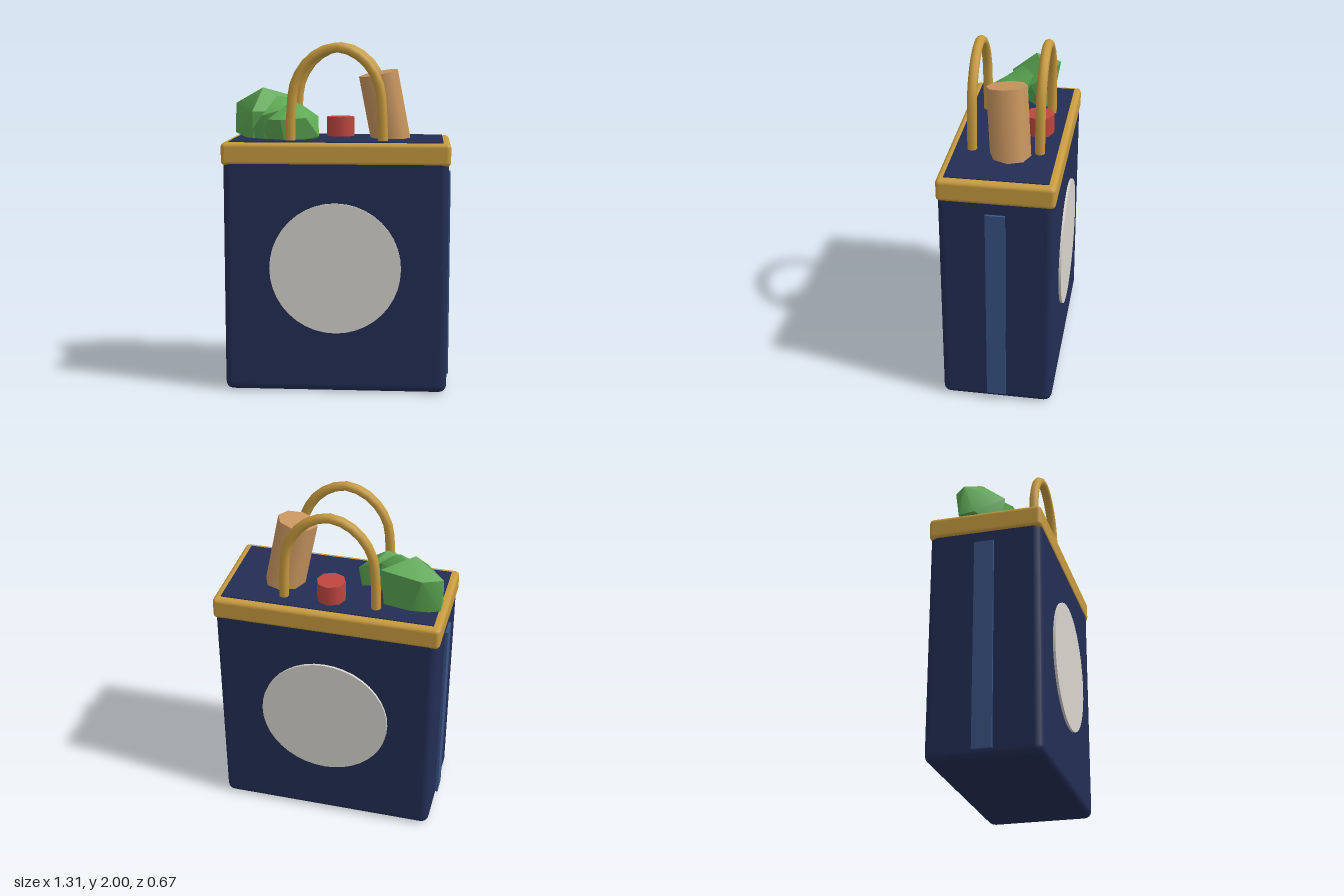
import * as THREE from 'three';
import { toCreasedNormals } from 'three/addons/utils/BufferGeometryUtils.js';
import { RoundedBoxGeometry } from 'three/addons/geometries/RoundedBoxGeometry.js';
import { ConvexGeometry } from 'three/addons/geometries/ConvexGeometry.js';

function material(name, color) {
  const m = new THREE.MeshStandardMaterial({ color });
  m.name = name;
  return m;
}

export function createModel() {
  const bag = new THREE.Group();
  bag.name = 'groceryBag';

  const navy = material('navy cloth', 0x232e55);
  const blue = material('blue strip', 0x3a5486);
  const gold = material('gold trim', 0xc89b3f);
  const cream = material('pale disc', 0xd8d5cd);
  const green = material('leaf green', 0x5ca852);
  const brown = material('bread brown', 0xc8955f);
  const red = material('tin red', 0xbf4640);

  function add(name, geometry, mat, x = 0, y = 0, z = 0) {
    const mesh = new THREE.Mesh(geometry, mat);
    mesh.name = name;
    mesh.position.set(x, y, z);
    bag.add(mesh);
    return mesh;
  }

  // Bag body, rim band and the dark opening
  add('body', new RoundedBoxGeometry(1.28, 1.42, 0.64, 2, 0.045), navy, 0, 0.71, 0);
  add('rim', new RoundedBoxGeometry(1.3, 0.13, 0.65, 2, 0.025), gold, 0, 1.375, 0);
  add('opening', new THREE.BoxGeometry(1.215, 0.009, 0.57), navy, 0, 1.4405, 0);

  // Arched handle, repeated at front and back
  const arch = [
    [-0.265, 1.42], [-0.26, 1.6], [-0.235, 1.78], [-0.14, 1.915], [0, 1.972],
    [0.14, 1.915], [0.235, 1.78], [0.26, 1.6], [0.265, 1.42],
  ].map(([x, y]) => new THREE.Vector3(x, y, 0));
  const handleGeometry = new THREE.TubeGeometry(new THREE.CatmullRomCurve3(arch), 20, 0.028, 8);
  const discGeometry = new THREE.CylinderGeometry(0.375, 0.375, 0.018, 40).rotateX(Math.PI / 2);

  for (const [side, s] of [['front', 1], ['back', -1]]) {
    add(side + 'Handle', handleGeometry, gold, 0, 0, s * 0.19);
    add(side + 'Disc', discGeometry, cream, 0, 0.725, s * 0.325);
  }

  // Side strips
  for (const [side, s] of [['left', 1], ['right', -1]]) {
    add(side + 'Strip', new THREE.BoxGeometry(0.018, 1.205, 0.11), blue, s * 0.646, 0.6475, 0);
  }

  // Leaning loaf
  const loafTop = new THREE.Vector3(0.23, 1.823, 0);
  const loafBase = new THREE.Vector3(0.31, 1.4, -0.035);
  const loafAxis = loafTop.clone().sub(loafBase);
  const loafGeometry = new THREE.CylinderGeometry(0.115, 0.115, loafAxis.length(), 8);
  const loafCentre = loafTop.clone().add(loafBase).multiplyScalar(0.5);
  const loaf = add('loaf', loafGeometry, brown, ...loafCentre.toArray());
  loaf.quaternion.setFromUnitVectors(new THREE.Vector3(0, 1, 0), loafAxis.normalize());

  // Red tin
  add('tin', new THREE.CylinderGeometry(0.083, 0.083, 0.16, 8), red, 0, 1.48, -0.153);

  // Three overlapping clumps of leaves
  const clumps = [
    [
      [-0.625, 1.64, -0.13], [-0.455, 1.735, -0.07], [-0.52, 1.66, -0.21], [-0.28, 1.68, -0.17],
      [-0.28, 1.6, -0.06], [-0.36, 1.6, 0.03], [-0.5, 1.6, 0.08], [-0.62, 1.46, -0.16],
      [-0.62, 1.47, -0.07], [-0.3, 1.42, -0.14], [-0.5, 1.43, 0.05], [-0.45, 1.42, -0.17],
    ],
    [
      [-0.36, 1.69, 0], [-0.27, 1.67, -0.08], [-0.215, 1.6, -0.04], [-0.23, 1.6, 0.02],
      [-0.3, 1.62, 0.1], [-0.44, 1.58, 0.11], [-0.5, 1.5, 0.06], [-0.48, 1.42, 0.05],
      [-0.25, 1.42, 0], [-0.42, 1.42, 0.11],
    ],
    [
      [-0.27, 1.665, 0.07], [-0.21, 1.63, -0.02], [-0.12, 1.57, 0], [-0.11, 1.46, 0.09],
      [-0.18, 1.57, 0.15], [-0.32, 1.56, 0.205], [-0.4, 1.56, 0.15], [-0.43, 1.5, 0.12],
      [-0.4, 1.42, 0.1], [-0.14, 1.42, 0.02], [-0.3, 1.42, 0.17],
    ],
  ];
  clumps.forEach((points, i) => {
    const hull = new ConvexGeometry(points.map((p) => new THREE.Vector3(...p)));
    add('leafClump' + (i + 1), toCreasedNormals(hull, 0.8), green);
  });

  return bag;
}
